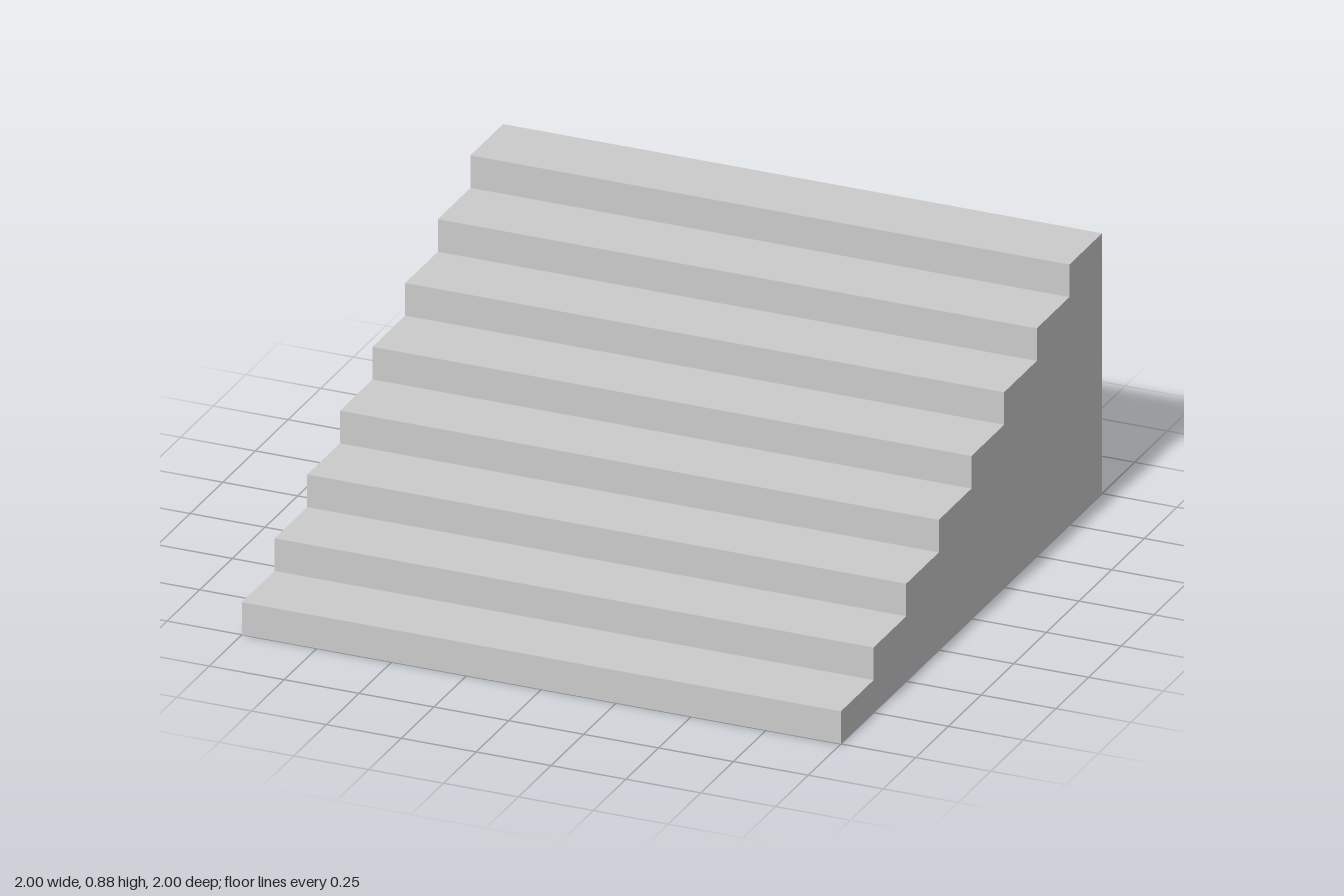
import * as THREE from 'three';

const STEPS = 8;
const WIDTH = 2;
const DEPTH = 2;
const HEIGHT = 0.877;

// Side profile of the stairs: shape x runs along world z, shape y is up
function stairProfile() {
  const run = DEPTH / STEPS;
  const rise = HEIGHT / STEPS;
  const shape = new THREE.Shape();
  shape.moveTo(-DEPTH / 2, 0);
  shape.lineTo(DEPTH / 2, 0);
  for (let i = 0; i < STEPS; i++) {
    const front = DEPTH / 2 - i * run;
    shape.lineTo(front, (i + 1) * rise); // riser
    shape.lineTo(front - run, (i + 1) * rise); // tread
  }
  shape.closePath();
  return shape;
}

export function createModel() {
  const group = new THREE.Group();
  group.name = 'staircase';

  // Solid flight of steps, extruded across the full width
  const geometry = new THREE.ExtrudeGeometry(stairProfile(), { depth: WIDTH, bevelEnabled: false });
  geometry.translate(0, 0, -WIDTH / 2);
  geometry.rotateY(-Math.PI / 2);

  const steps = new THREE.Mesh(geometry, new THREE.MeshStandardMaterial({ color: 0xcccccc }));
  steps.name = 'steps';
  group.add(steps);
  return group;
}
